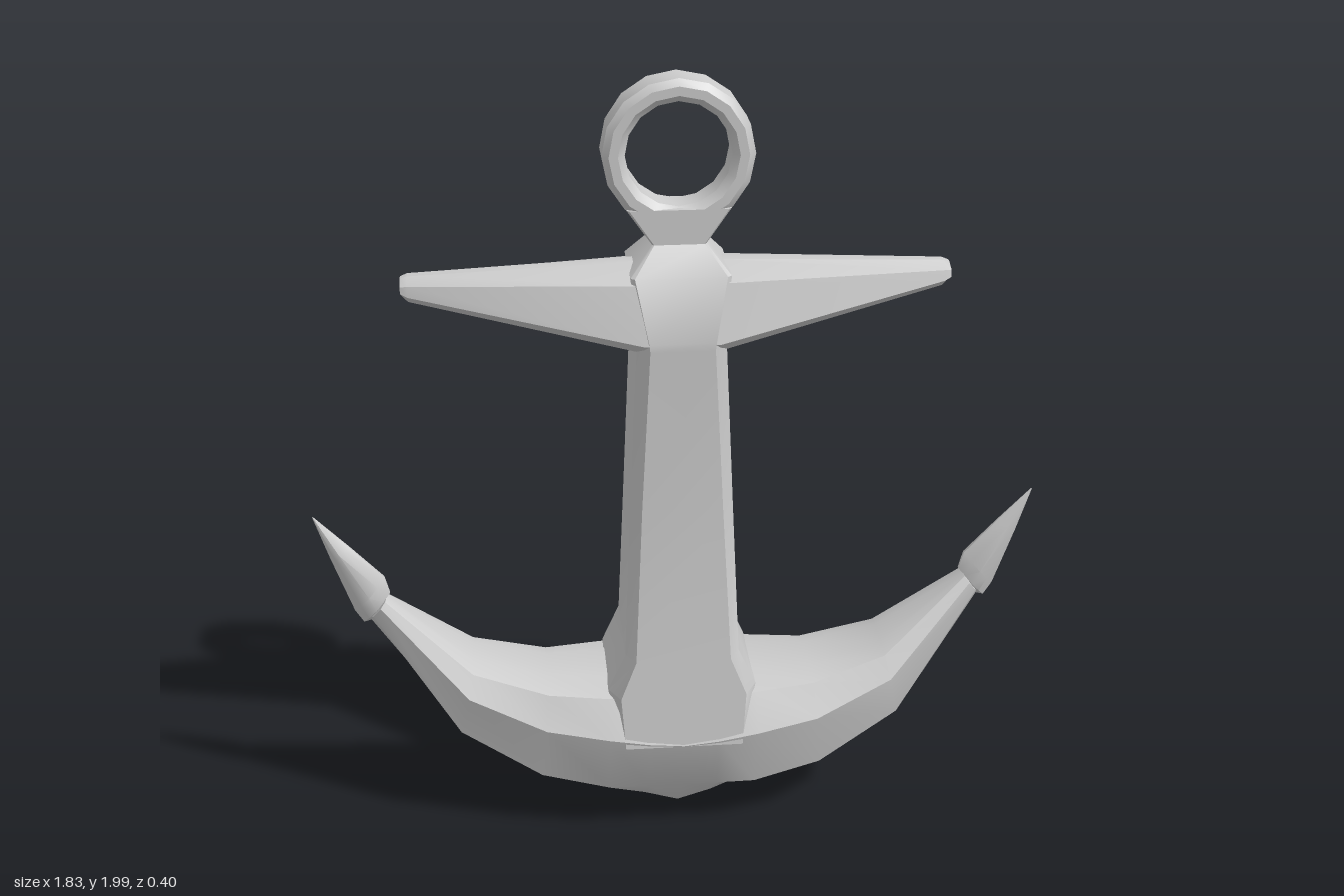
import * as THREE from 'three';
import { toCreasedNormals } from 'three/addons/utils/BufferGeometryUtils.js';

const V = (x, y, z) => new THREE.Vector3(x, y, z);

// Skin a row of equal-length closed loops and cap both ends, facing outward.
function loft(loops, crease) {
  const n = loops[0].length, last = loops.length - 1;
  const pts = loops.flat(), tris = [];
  for (let i = 0; i < last; i++) {
    for (let j = 0; j < n; j++) {
      const a = i * n + j, b = i * n + (j + 1) % n;
      tris.push([a, b, b + n], [a, b + n, a + n]);
    }
  }
  for (const i of [0, last]) {
    const c = pts.length;
    pts.push(loops[i].reduce((s, p) => s.add(p), V(0, 0, 0)).divideScalar(n));
    for (let j = 0; j < n; j++) {
      const a = i * n + j, b = i * n + (j + 1) % n;
      tris.push(i === 0 ? [c, b, a] : [c, a, b]);
    }
  }
  // a negative enclosed volume means the winding has to be turned round
  const volume = tris.reduce((s, [a, b, c]) => s + pts[a].dot(V(0, 0, 0).crossVectors(pts[b], pts[c])), 0);
  if (volume < 0) tris.forEach(t => t.reverse());
  const geo = new THREE.BufferGeometry().setFromPoints(pts);
  geo.setIndex(tris.flat());
  return toCreasedNormals(geo, crease);
}

// Loop between an upper and a lower point; profile = [share of the way down, half depth].
function blade([tx, ty], [bx, by], profile) {
  const at = ([t, z], side) => V(tx + (bx - tx) * t, ty + (by - ty) * t, z * side);
  return [...profile.map(p => at(p, 1)), ...profile.slice().reverse().map(p => at(p, -1))];
}

const mirrorLoop = loop => loop.map(p => V(-p.x, p.y, p.z));
const bothSides = half => [...half.slice().reverse().map(mirrorLoop), ...half];

export function createModel() {
  const group = new THREE.Group();
  const material = new THREE.MeshStandardMaterial({ color: 0xcccccc });
  const add = (name, geometry) => {
    const mesh = new THREE.Mesh(geometry, material);
    mesh.name = name;
    group.add(mesh);
  };

  // Shank and neck: chamfered column [y, half width, front width, half depth, side depth]
  const shank = [
    [0.30, 0.17, 0.15, 0.199, 0.13],
    [0.44, 0.19, 0.16, 0.185, 0.13],
    [0.54, 0.145, 0.12, 0.175, 0.13],
    [0.95, 0.128, 0.10, 0.142, 0.107],
    [1.37, 0.108, 0.078, 0.15, 0.118],
    [1.39, 0.108, 0.08, 0.15, 0.12],
    [1.54, 0.12, 0.11, 0.108, 0.10],
    [1.605, 0.065, 0.06, 0.055, 0.048],
    [1.69, 0.125, 0.118, 0.055, 0.045],
  ].map(([y, w, fw, d, sd]) => [
    V(fw, y, d), V(w, y, sd), V(w, y, -sd), V(fw, y, -d),
    V(-fw, y, -d), V(-w, y, -sd), V(-w, y, sd), V(-fw, y, d),
  ]);
  add('shank', loft(shank, 0.5));

  // Stock: tapering crossbar [x, then y and half depth of ridge, shoulder, lower edge, underside]
  const stock = [
    [0.09, 1.555, 0.02, 1.525, 0.112, 1.385, 0.15, 1.358, 0.12],
    [0.645, 1.532, 0.012, 1.517, 0.045, 1.492, 0.05, 1.47, 0.018],
    [0.662, 1.526, 0.008, 1.514, 0.036, 1.498, 0.04, 1.488, 0.014],
  ].map(([x, ...s]) => {
    const front = [0, 2, 4, 6].map(i => V(x, s[i], s[i + 1]));
    return [...front, ...front.slice().reverse().map(p => V(x, p.y, -p.z))];
  });
  add('stock', loft(bothSides(stock), 0.4));

  // Arms: one crescent through the crown [top, bottom, half depth, height of lower crease]
  const arms = [
    [[0.001, 0.44], [0.001, 0.008], 0.2, 0.67],
    [[0.09, 0.44], [0.09, 0.035], 0.2, 0.72],
    [[0.19, 0.445], [0.19, 0.08], 0.2, 0.81],
    [[0.34, 0.445], [0.37, 0.125], 0.165, 0.82],
    [[0.53, 0.495], [0.575, 0.285], 0.13, 0.88],
    [[0.745, 0.67], [0.79, 0.61], 0.035, 0.75],
  ].map(([top, bottom, w, crease]) => blade(top, bottom, [
    [0, w * 0.35], [0.06, w * 0.75], [0.32, w], [crease, w * 0.72], [1, w * 0.02],
  ]));
  add('arms', loft(bothSides(arms), 0.65));

  // Flukes: slim barbed points on the arm ends [inner edge, outer edge, half depth]
  const fluke = [
    [[0.75, 0.665], [0.785, 0.605], 0.015],
    [[0.735, 0.68], [0.805, 0.6], 0.024],
    [[0.747, 0.725], [0.826, 0.635], 0.031],
    [[0.83, 0.815], [0.878, 0.785], 0.02],
    [[0.913, 0.902], [0.915, 0.9], 0.001],
  ].map(([inner, outer, w]) => blade(inner, outer, [
    [0, w * 0.15], [0.22, w * 0.7], [0.5, w], [0.78, w * 0.7], [1, w * 0.15],
  ]));
  add('leftFluke', loft(fluke, 0.7));
  add('rightFluke', loft(fluke.map(mirrorLoop), 0.7));

  // Ring: chamfered hoop turned about the z axis
  const hoop = [
    [0.126, -0.035], [0.143, -0.055], [0.165, -0.055], [0.181, -0.04],
    [0.181, 0.04], [0.165, 0.055], [0.143, 0.055], [0.126, 0.035], [0.126, -0.035],
  ].map(p => new THREE.Vector2(...p));
  const ring = new THREE.LatheGeometry(hoop, 16);
  ring.rotateX(Math.PI / 2).translate(0, 1.819, 0);
  add('ring', toCreasedNormals(ring, 0.55));

  return group;
}
